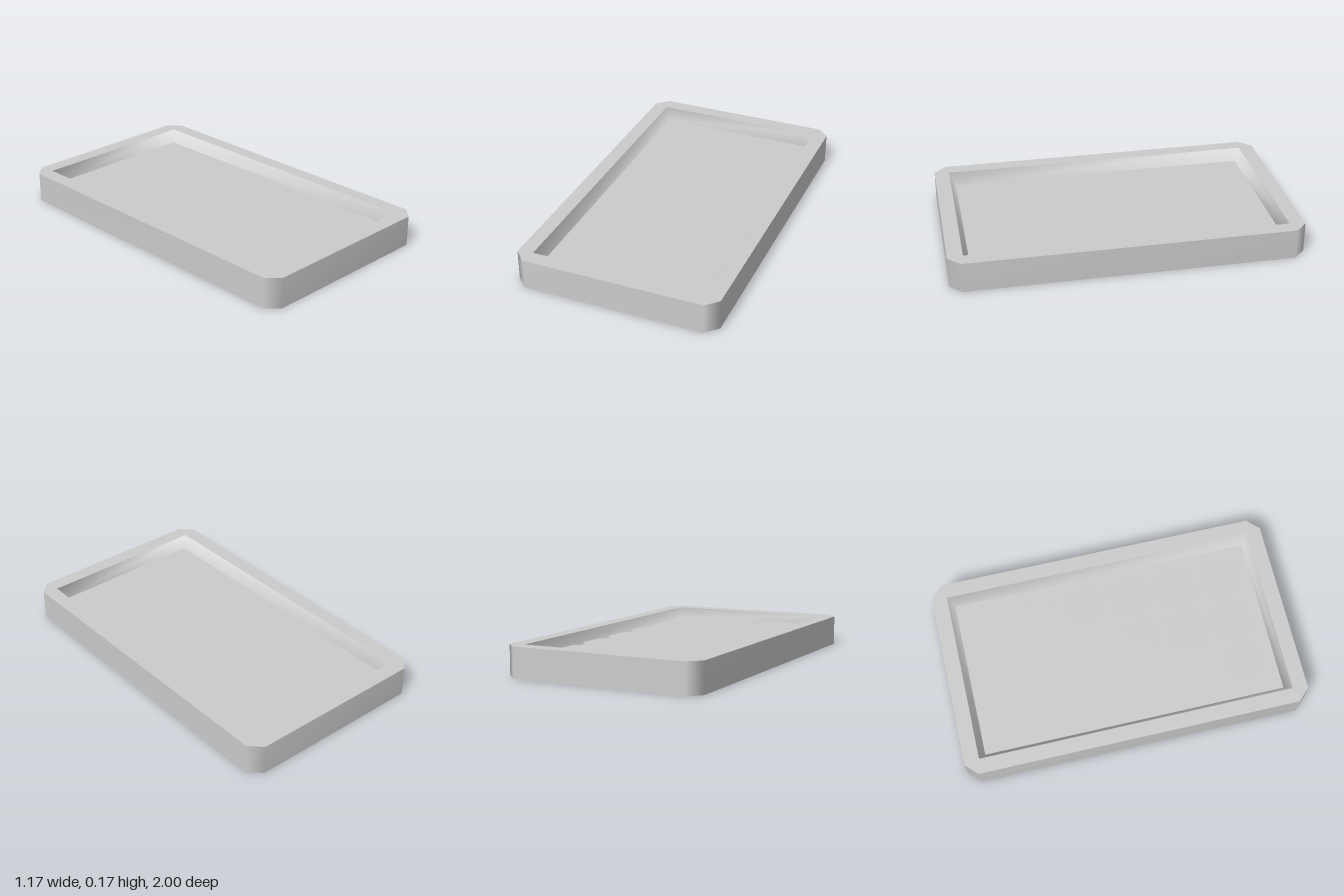
import * as THREE from 'three';

const HEIGHT = 0.175, FLOOR = 0.104, TILE = 0.136;
const material = new THREE.MeshStandardMaterial({ color: 0xcccccc, side: THREE.DoubleSide });

// Counter-clockwise rectangle with cut corners
function outline(hx, hy, cut = 0) {
  if (!cut) return [[hx, -hy], [hx, hy], [-hx, hy], [-hx, -hy]].map(p => new THREE.Vector2(...p));
  const a = hx - cut, b = hy - cut;
  return [[hx, -b], [hx, b], [a, hy], [-a, hy], [-hx, b], [-hx, -b], [-a, -hy], [a, -hy]]
    .map(p => new THREE.Vector2(...p));
}

// Horizontal flat face at height y, optionally with an opening
function flat(name, points, y, hole, down = false) {
  const shape = new THREE.Shape(points);
  if (hole) shape.holes.push(new THREE.Path(hole));
  const geometry = new THREE.ShapeGeometry(shape).rotateX(down ? Math.PI / 2 : -Math.PI / 2);
  const mesh = new THREE.Mesh(geometry.translate(0, y, 0), material);
  mesh.name = name;
  return mesh;
}

// Smooth-shaded wall joining two rings of points
function wall(name, ringA, yA, ringB, yB) {
  const n = ringA.length, position = [], index = [];
  ringA.forEach(p => position.push(p.x, yA, -p.y));
  ringB.forEach(p => position.push(p.x, yB, -p.y));
  for (let i = 0; i < n; i++) {
    const j = (i + 1) % n;
    index.push(i, j, n + j, i, n + j, n + i);
  }
  const geometry = new THREE.BufferGeometry();
  geometry.setAttribute('position', new THREE.Float32BufferAttribute(position, 3));
  geometry.setIndex(index);
  geometry.computeVertexNormals();
  const mesh = new THREE.Mesh(geometry, material);
  mesh.name = name;
  return mesh;
}

export function createModel() {
  const model = new THREE.Group();
  model.name = 'tray';

  const outer = outline(0.585, 1, 0.068);
  const opening = outline(0.5, 0.913);
  const floor = outline(0.465, 0.878);

  // Tray body with a sloped recess
  model.add(
    flat('base', outer, 0, null, true),
    wall('outerWall', outer, 0, outer, HEIGHT),
    flat('rim', outer, HEIGHT, opening),
    wall('recessWall', opening, HEIGHT, floor, FLOOR),
    flat('recessFloor', floor, FLOOR)
  );

  // Three columns and six rows of octagonal plates
  const plates = new THREE.Group();
  plates.name = 'plates';
  const octagon = outline(0.122, 0.122, 0.046);
  for (let row = 0; row < 6; row++) {
    for (let col = 0; col < 3; col++) {
      const plate = flat('plate', octagon, TILE);
      plate.position.set((col - 1) * 0.275, 0, (row - 2.5) * 0.275);
      plates.add(plate);
    }
  }
  model.add(plates);
  return model;
}
